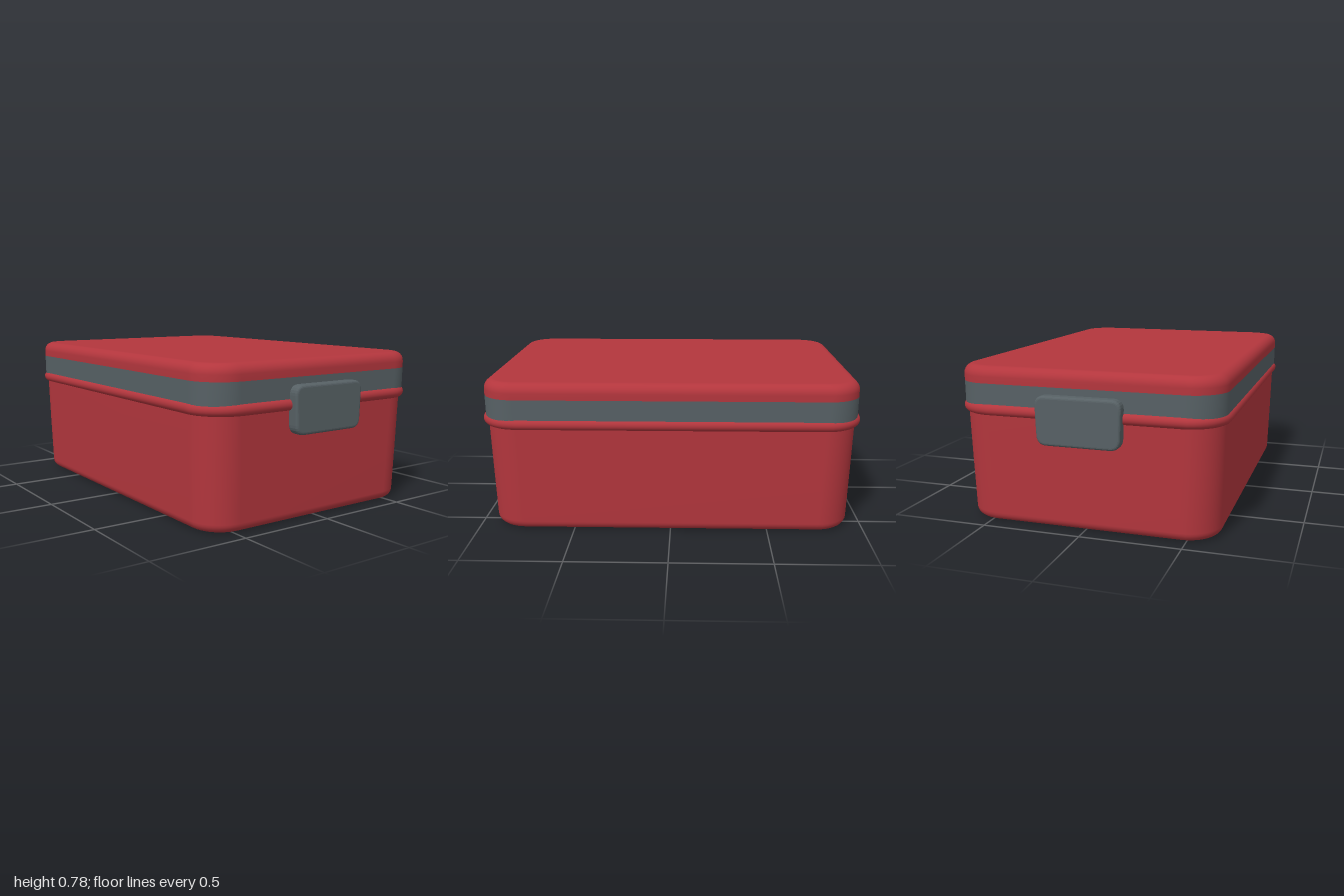
import * as THREE from 'three';

const CORNER = 0.17;

// Skin stacked rounded-rectangle rings; each ring is [y, halfX, halfZ, cornerRadius]
function loft(rings, capBottom, capTop) {
  const steps = 10, n = 4 * (steps + 1), pos = [], idx = [];
  for (const [y, hx, hz, r = CORNER] of rings) {
    for (let q = 0; q < 4; q++) {
      const sx = q === 0 || q === 3 ? 1 : -1, sz = q < 2 ? 1 : -1;
      for (let s = 0; s <= steps; s++) {
        const a = (q + s / steps) * Math.PI / 2;
        pos.push(sx * (hx - r) + r * Math.cos(a), y, sz * (hz - r) + r * Math.sin(a));
      }
    }
  }
  for (let i = 0; i < rings.length - 1; i++) {
    for (let j = 0; j < n; j++) {
      const k = (j + 1) % n, a = i * n, b = a + n;
      idx.push(a + j, b + j, a + k, a + k, b + j, b + k);
    }
  }
  const cap = (ring, up) => {
    const c = pos.length / 3, o = ring * n;
    pos.push(0, rings[ring][0], 0);
    for (let j = 0; j < n; j++) {
      const k = (j + 1) % n;
      idx.push(c, o + (up ? k : j), o + (up ? j : k));
    }
  };
  if (capBottom) cap(0, false);
  if (capTop) cap(rings.length - 1, true);
  const g = new THREE.BufferGeometry();
  g.setAttribute('position', new THREE.Float32BufferAttribute(pos, 3));
  g.setIndex(idx);
  g.computeVertexNormals();
  return g;
}

// Quarter-round edge rings, either rising from the floor or closing at the top
function roundEdge(y, hx, hz, e, top) {
  const out = [];
  for (let i = 0; i <= 6; i++) {
    const a = i / 6 * Math.PI / 2;
    const inset = e * (1 - (top ? Math.cos(a) : Math.sin(a)));
    const dy = top ? e * (Math.sin(a) - 1) : e * (1 - Math.cos(a));
    out.push([y + dy, hx - inset, hz - inset, CORNER - inset]);
  }
  return out;
}

export function createModel() {
  const red = new THREE.MeshStandardMaterial({ color: 0xb3363d });
  red.name = 'red plastic';
  const grey = new THREE.MeshStandardMaterial({ color: 0x576165 });
  grey.name = 'grey plastic';

  const model = new THREE.Group();
  model.name = 'lunchBox';
  const add = (name, geometry, material) => {
    const mesh = new THREE.Mesh(geometry, material);
    mesh.name = name;
    model.add(mesh);
    return mesh;
  };

  // Slightly tapered tub
  add('tub', loft([...roundEdge(0, 0.93, 0.643, 0.045, false),
    [0.3, 0.936, 0.65], [0.57, 0.942, 0.656]], true, false), red);

  // Rounded bead around the mouth of the tub
  const bead = [];
  for (let i = 0; i <= 10; i++) {
    const a = (i / 10 - 0.5) * Math.PI, d = 0.03 * Math.cos(a);
    bead.push([0.573 + 0.029 * Math.sin(a), 0.94 + d, 0.647 + d, CORNER + d]);
  }
  add('rim', loft(bead, true, true), red);

  // Grey band and red lid top
  add('band', loft([[0.59, 0.953, 0.665], [0.7, 0.954, 0.666]], false, false), grey);
  add('lid', loft([[0.7, 0.954, 0.666], ...roundEdge(0.782, 0.954, 0.666, 0.05, true)], false, true), red);

  // Side latches: rounded plates tapering a little towards the bottom
  const b = 0.014;
  const corners = [[-0.192, 0.443], [0.192, 0.443], [0.2, 0.652], [-0.2, 0.652]];
  const shape = new THREE.Shape();
  corners.forEach(([x, y], i) => {
    const p = new THREE.Vector2(x, y), r = 0.035;
    const prev = new THREE.Vector2(...corners[(i + 3) % 4]);
    const next = new THREE.Vector2(...corners[(i + 1) % 4]);
    const from = p.clone().add(prev.sub(p).setLength(r));
    const to = p.clone().add(next.sub(p).setLength(r));
    if (i === 0) shape.moveTo(from.x, from.y);
    else shape.lineTo(from.x, from.y);
    shape.quadraticCurveTo(x, y, to.x, to.y);
  });
  shape.closePath();
  const plate = new THREE.ExtrudeGeometry(shape, {
    depth: 0.065 - 2 * b, bevelEnabled: true, bevelSize: b, bevelThickness: b,
    bevelSegments: 4, curveSegments: 6,
  });
  plate.translate(0, 0, 0.935 + b);
  for (const side of [1, -1]) {
    const latch = add(side > 0 ? 'leftLatch' : 'rightLatch', plate, grey);
    latch.rotation.y = side * Math.PI / 2;
  }
  return model;
}
